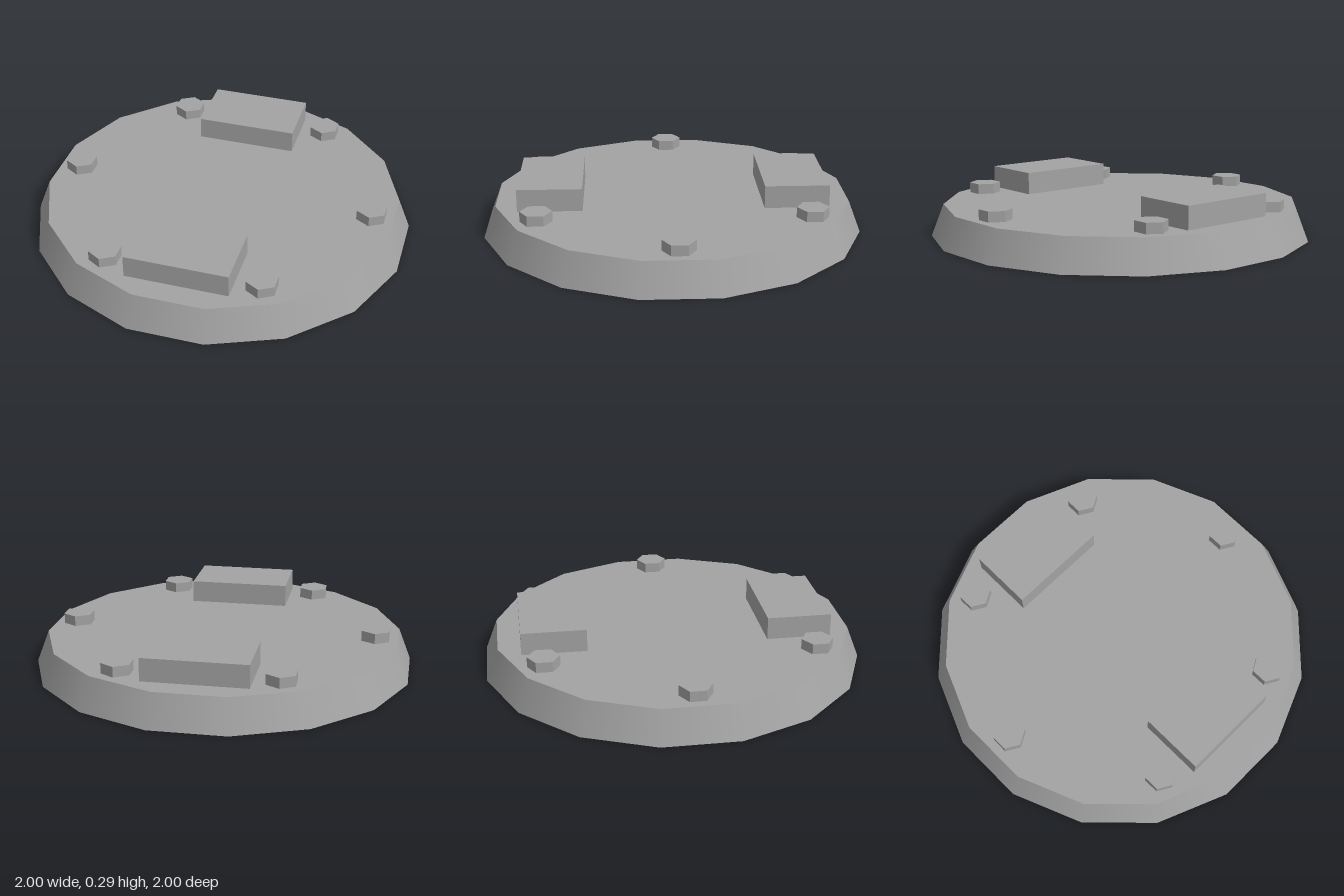
import * as THREE from 'three';

export function createModel() {
  const group = new THREE.Group();
  const metal = new THREE.MeshStandardMaterial({ color: 0xa3a3a3 });
  metal.name = 'grey metal';

  const add = (name, geometry, x, y, z) => {
    const mesh = new THREE.Mesh(geometry, metal);
    mesh.name = name;
    mesh.position.set(x, y, z);
    group.add(mesh);
  };

  // Tapered sixteen-sided base, flats facing the axes, smooth rim
  const sides = 16, plateTop = 0.17;
  const toCorner = 1 / Math.cos(Math.PI / sides);
  add('basePlate',
    new THREE.CylinderGeometry(0.935 * toCorner, toCorner, plateTop, sides, 1, false, Math.PI / sides),
    0, plateTop / 2, 0);

  // Raised blocks at front and back
  const blockHeight = 0.12;
  for (const [name, side] of [['frontBlock', 1], ['backBlock', -1]]) {
    add(name, new THREE.BoxGeometry(0.54, blockHeight, 0.34),
      0, plateTop + blockHeight / 2, side * 0.645);
  }

  // Ring of six hexagonal bolt heads with hard edges
  const boltHeight = 0.055, ring = 0.816;
  const boltGeometry = new THREE.CylinderGeometry(0.084, 0.084, boltHeight, 6).toNonIndexed();
  boltGeometry.computeVertexNormals();
  for (let i = 0; i < 6; i++) {
    const angle = i * Math.PI / 3;
    add('bolt' + (i + 1), boltGeometry,
      ring * Math.cos(angle), plateTop + boltHeight / 2, ring * Math.sin(angle));
  }
  return group;
}
